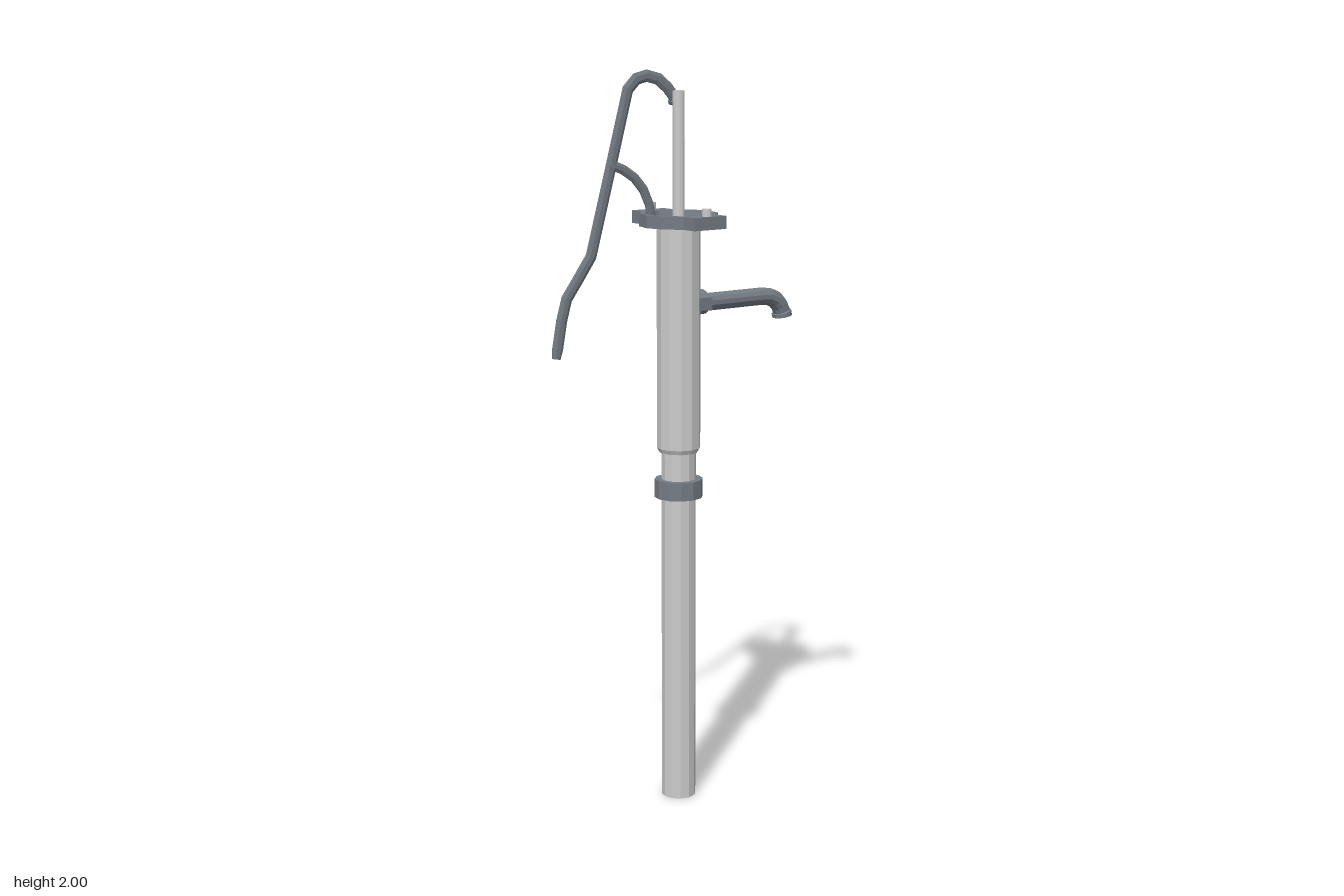
import * as THREE from 'three';

const steel = new THREE.MeshStandardMaterial({ color: 0xcccccc, flatShading: true });
const iron = new THREE.MeshStandardMaterial({ color: 0x747c84, flatShading: true });

// Sweeps an elliptical section along points [x, y, inPlaneRadius, zRadius, z], closing both ends.
function sweep(path, sides) {
  const pos = [], idx = [];
  const at = (i) => new THREE.Vector2(path[i][0], path[i][1]);
  const last = path.length - 1;
  path.forEach(([x, y, r, rz, z = 0], i) => {
    const a = at(i).sub(at(Math.max(i - 1, 0))).normalize();
    const b = at(Math.min(i + 1, last)).sub(at(i)).normalize();
    const t = a.clone().add(b).normalize();
    // widen at the mitre so the bar keeps its width
    const w = r / Math.max(t.dot(i === last ? a : b), 0.6);
    for (let s = 0; s < sides; s++) {
      const q = ((s + 0.5) / sides) * Math.PI * 2;
      pos.push(x - t.y * Math.cos(q) * w, y + t.x * Math.cos(q) * w, z + Math.sin(q) * rz);
    }
  });
  for (let i = 0; i < last; i++) {
    for (let s = 0; s < sides; s++) {
      const a = i * sides + s, b = i * sides + ((s + 1) % sides);
      idx.push(a, b, a + sides, a + sides, b, b + sides);
    }
  }
  for (let s = 1; s < sides - 1; s++) {
    idx.push(0, s + 1, s);
    idx.push(last * sides, last * sides + s, last * sides + s + 1);
  }
  const g = new THREE.BufferGeometry();
  g.setAttribute('position', new THREE.Float32BufferAttribute(pos, 3));
  g.setIndex(idx);
  g.computeVertexNormals();
  return g;
}

export function createModel() {
  const model = new THREE.Group();
  model.name = 'handPump';
  const CX = -0.001;

  function add(name, geometry, material, x = 0, y = 0, z = 0) {
    const m = new THREE.Mesh(geometry, material);
    m.name = name;
    m.position.set(x, y, z);
    model.add(m);
  }
  // Upright cylinder between two heights
  const post = (name, r, y0, y1, material, z = 0, rBottom = r) =>
    add(name, new THREE.CylinderGeometry(r, rBottom, y1 - y0, 12), material, CX, (y0 + y1) / 2, z);

  // Column
  post('lowerPipe', 0.047, 0, 0.99, steel);
  post('pipeCollar', 0.066, 0.855, 0.905, iron);
  post('barrelFoot', 0.059, 0.98, 0.992, steel, 0, 0.053);
  post('barrel', 0.059, 0.992, 1.595, steel);

  // Twelve-sided head flange with two bolt ears
  const outer = [], inner = [];
  for (let i = 0; i < 12; i++) {
    const a = (i / 12) * Math.PI * 2, c = Math.cos(a), s = Math.sin(a);
    if (i === 3 || i === 9) {
      const k = i === 3 ? 1 : -1;
      outer.push(new THREE.Vector2(0.053 * k, 0.138 * k), new THREE.Vector2(-0.053 * k, 0.138 * k));
    } else outer.push(new THREE.Vector2(0.105 * c, 0.105 * s));
    inner.push(new THREE.Vector2(0.092 * c, 0.092 * s));
  }
  const outline = new THREE.Shape(outer);
  outline.holes.push(new THREE.Path(inner.reverse()));
  const flange = new THREE.ExtrudeGeometry(outline, { depth: 0.034, bevelEnabled: false });
  flange.rotateX(-Math.PI / 2);
  add('headFlange', flange, iron, CX, 1.591, 0);

  // Recessed middle with a sloping wall
  const basin = [[0.092, 1.625], [0.085, 1.601], [0, 1.601]].map(([r, y]) => new THREE.Vector2(r, y));
  add('flangeBasin', new THREE.LatheGeometry(basin, 12), iron, CX);
  post('flangeUnderside', 0.092, 1.591, 1.6, iron);
  for (const z of [-0.122, 0.122]) post('flangeBolt', 0.0125, 1.61, 1.645, steel, z);

  // Piston rod
  post('pistonRod', 0.016, 1.6, 1.945, steel);

  // Spout with a slightly flared mouth, and its mounting
  add('spout', sweep([
    [0.05, 1.38], [0.285, 1.38], [0.31, 1.377], [0.333, 1.367], [0.349, 1.35],
    [0.356, 1.334], [0.357, 1.331, 0.028], [0.359, 1.319, 0.028],
  ].map(([x, y, r = 0.024]) => [x, y, r, r]), 12), iron);
  const ring = new THREE.CylinderGeometry(0.034, 0.034, 0.03, 12);
  ring.rotateZ(Math.PI / 2);
  add('spoutRing', ring, iron, 0.065, 1.382, 0);
  add('spoutBracket', new THREE.BoxGeometry(0.043, 0.034, 0.09), iron, 0.0565, 1.382, 0);

  // Flat lever: hooked top, straight arm, cranked grip
  const lever = [
    [0.02, 1.9], [0.004, 1.927], [-0.018, 1.952], [-0.048, 1.975], [-0.085, 1.984],
    [-0.118, 1.976], [-0.145, 1.95], [-0.2, 1.752], [-0.264, 1.525], [-0.3, 1.475],
    [-0.341, 1.42], [-0.357, 1.365], [-0.371, 1.29], [-0.375, 1.266, 0.012],
  ];
  add('lever', sweep(lever.map(([x, y, r = 0.0165]) => [x, y, r, 0.0075, -0.026 + x * 0.01]), 8), iron);

  // Curved brace from flange to lever
  const brace = [
    [-0.196, 1.758], [-0.16, 1.744], [-0.125, 1.722], [-0.096, 1.69], [-0.077, 1.65], [-0.066, 1.598],
  ];
  add('leverBrace', sweep(brace.map(([x, y]) => [x, y, 0.0135, 0.007, -0.028]), 8), iron);

  // Pivot pins through the lever
  for (const [x, y, z, len] of [[0, 1.915, -0.018, 0.036], [-0.2, 1.755, -0.028, 0.019]]) {
    const pin = new THREE.CylinderGeometry(0.009, 0.009, len, 8);
    pin.rotateX(Math.PI / 2);
    add('pivotPin', pin, iron, x, y, z);
  }
  return model;
}
